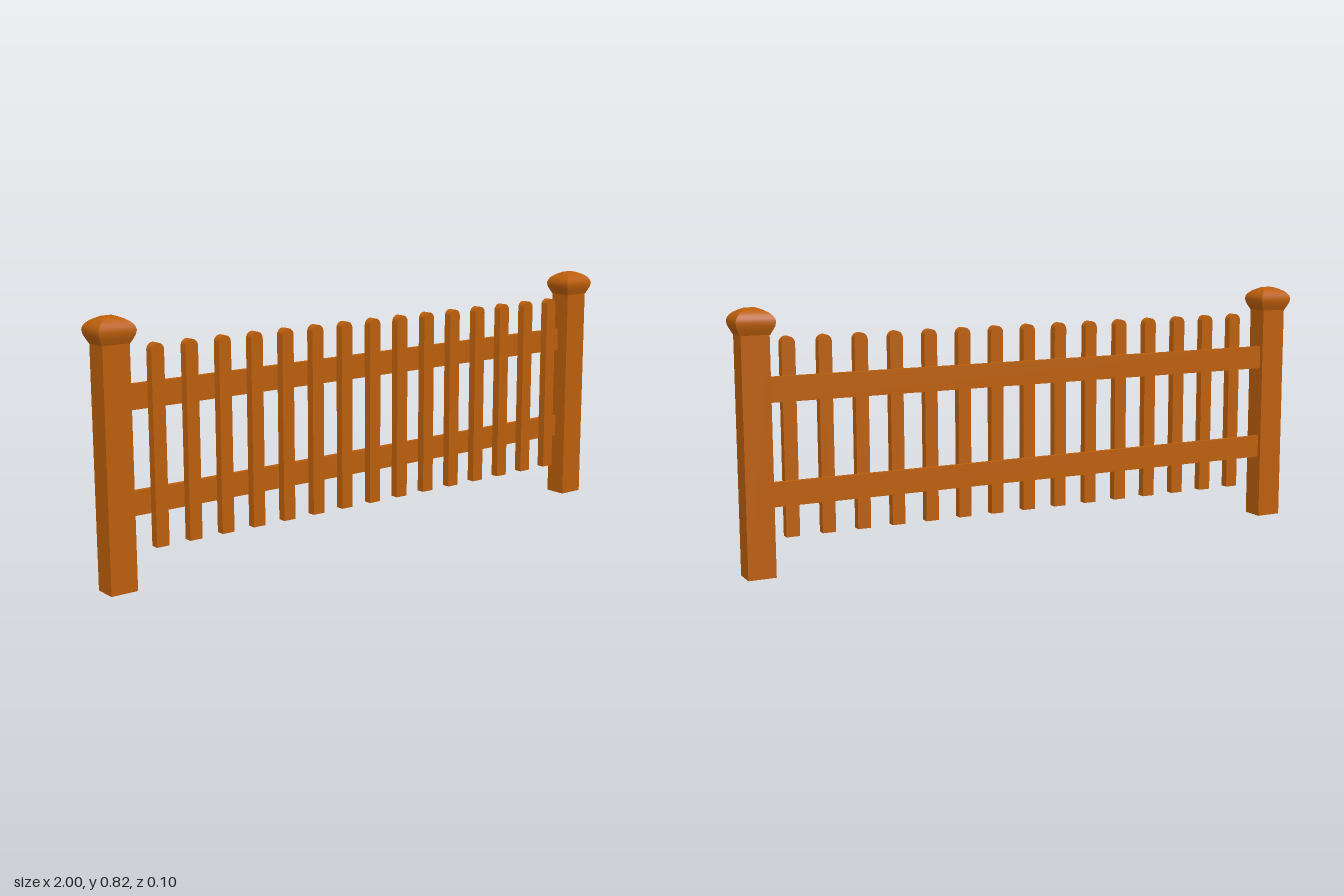
import * as THREE from 'three';
import { toCreasedNormals } from 'three/addons/utils/BufferGeometryUtils.js';

const wood = new THREE.MeshStandardMaterial({ color: 0xbc5f0c });
wood.name = 'wood';

function add(parent, name, geometry, x, y, z) {
  const mesh = new THREE.Mesh(geometry, wood);
  mesh.name = name;
  mesh.position.set(x, y, z);
  parent.add(mesh);
  return mesh;
}

// Four-sided bulbous cap: rows of [half-width fraction, height]
function capGeometry() {
  const rows = [[0, 0], [0.75, 0], [0.86, 0.013], [0.96, 0.026], [1, 0.039], [0.96, 0.049],
    [0.86, 0.058], [0.71, 0.066], [0.5, 0.073], [0.26, 0.079], [0, 0.08]];
  const profile = rows.map(([r, y]) => new THREE.Vector2(r * Math.SQRT2, y));
  const geometry = new THREE.LatheGeometry(profile, 4);
  geometry.rotateY(Math.PI / 4);
  geometry.scale(0.061, 1, 0.051);
  return toCreasedNormals(geometry, 0.7);
}

// Upright slat with a rounded top
function picketGeometry() {
  const half = 0.0215, bottom = 0.113, shoulder = 0.706;
  const shape = new THREE.Shape();
  shape.moveTo(-half, bottom);
  shape.lineTo(half, bottom);
  shape.lineTo(half, shoulder);
  shape.absarc(0, shoulder, half, 0, Math.PI, false);
  shape.closePath();
  const geometry = new THREE.ExtrudeGeometry(shape, { depth: 0.028, bevelEnabled: false, curveSegments: 10 });
  return toCreasedNormals(geometry, 0.6);
}

export function createModel() {
  const fence = new THREE.Group();
  fence.name = 'picketFence';

  // End posts with caps
  const post = new THREE.BoxGeometry(0.088, 0.738, 0.076);
  const cap = capGeometry();
  for (const side of [-1, 1]) {
    const prefix = side > 0 ? 'left' : 'right';
    add(fence, prefix + 'Post', post, side * 0.939, 0.369, 0);
    add(fence, prefix + 'PostCap', cap, side * 0.939, 0.738, 0);
  }

  // Horizontal rails behind the pickets
  add(fence, 'lowerRail', new THREE.BoxGeometry(1.8, 0.075, 0.017), 0, 0.252, -0.0155);
  add(fence, 'upperRail', new THREE.BoxGeometry(1.8, 0.077, 0.017), 0, 0.5715, -0.0155);

  // Row of pickets
  const picket = picketGeometry();
  for (let i = 0; i < 15; i++) add(fence, 'picket' + (i + 1), picket, -0.795 + i * 0.116, 0, -0.007);

  return fence;
}
